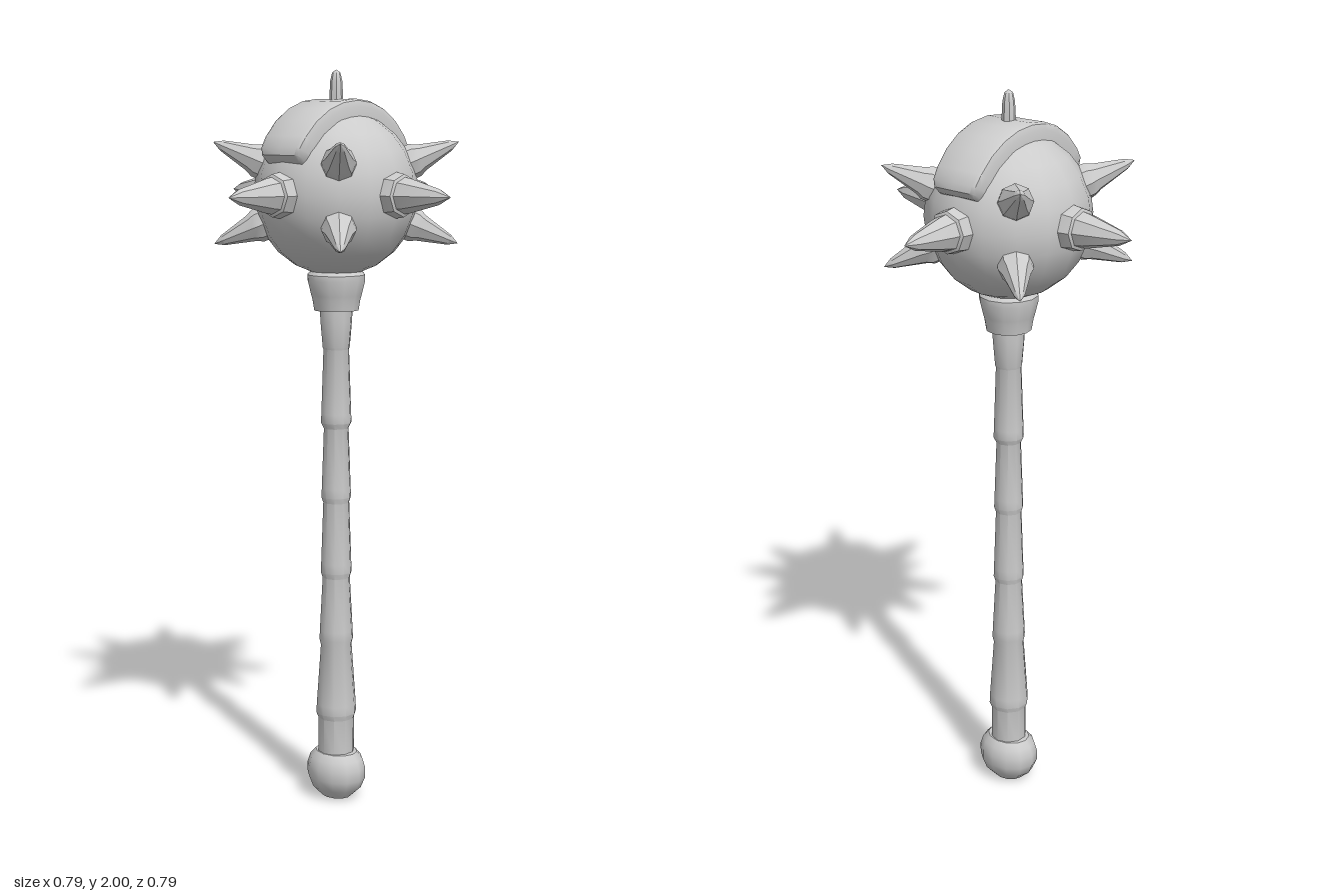
import * as THREE from 'three';
import { toCreasedNormals } from 'three/addons/utils/BufferGeometryUtils.js';

const material = new THREE.MeshStandardMaterial({ color: 0xcccccc });
const HEAD_Y = 1.68;

function part(name, geometry, crease = 0.7) {
  const mesh = new THREE.Mesh(toCreasedNormals(geometry, crease), material);
  mesh.name = name;
  return mesh;
}

// Turned part: [radius, height] pairs listed from bottom to top
function turned(name, profile, sides) {
  const points = profile.map(([r, y]) => new THREE.Vector2(r, y));
  return part(name, new THREE.LatheGeometry(points, sides));
}

// Spike pointing outwards from the head centre
function spike(name, profile, direction) {
  const mesh = turned(name, profile, 8);
  mesh.quaternion.setFromUnitVectors(new THREE.Vector3(0, 1, 0), direction.normalize());
  return mesh;
}

// Raised band bent over the head from front to back, with softened edges and ends
function bandGeometry() {
  const section = [[-1, -1], [-1, 0.55], [-0.93, 0.9], [-0.82, 1], [0, 0.97],
    [0.82, 1], [0.93, 0.9], [1, 0.55], [1, -1]];
  const start = [[22, 0.78, -0.015], [23, 0.82, 0.02], [25.5, 0.91, 0.038], [30, 0.98, 0.045], [38, 1, 0.045]];
  const middle = [51, 64, 77, 90, 103, 116, 129].map((a) => [a, 1, 0.045]);
  const end = start.map(([a, w, h]) => [180 - a, w, h]).reverse();
  const rings = [...start, ...middle, ...end];
  const positions = [], indices = [];
  for (const [degrees, widthScale, lift] of rings) {
    const a = THREE.MathUtils.degToRad(degrees);
    const halfWidth = widthScale * (0.073 + 0.011 * Math.sin(a) ** 2);
    for (const [u, v] of section) {
      const r = 0.2 + (v < 0 ? -0.02 : lift * v);
      positions.push(u * halfWidth, r * Math.sin(a), r * Math.cos(a));
    }
  }
  const n = section.length;
  for (let i = 0; i < rings.length - 1; i++) {
    for (let j = 0; j < n - 1; j++) {
      const a = i * n + j, b = a + n;
      indices.push(a, a + 1, b, a + 1, b + 1, b);
    }
  }
  // End caps
  const last = (rings.length - 1) * n;
  for (let j = 1; j < n - 1; j++) {
    indices.push(0, j + 1, j, last, last + j, last + j + 1);
  }
  const geometry = new THREE.BufferGeometry();
  geometry.setAttribute('position', new THREE.Float32BufferAttribute(positions, 3));
  geometry.setIndex(indices);
  return geometry;
}

export function createModel() {
  const model = new THREE.Group();
  model.name = 'spikedMace';

  // Pommel, slightly wider from side to side
  const pommel = turned('pommel', [[0, 0.005], [0.037, 0.008], [0.062, 0.035], [0.073, 0.065],
    [0.073, 0.095], [0.066, 0.12], [0.052, 0.138], [0, 0.14]], 12);
  pommel.scale.x = 1.2;
  model.add(pommel);

  // Grip of stacked segments, each flaring down to a small step
  const grip = [[0.05, 0.12], [0.05, 0.235]];
  const steps = [[0.25, 0.056, 0.043], [0.46, 0.047, 0.038], [0.65, 0.043, 0.036], [0.86, 0.041, 0.034], [1.065, 0.042, 0.035]];
  steps.forEach(([y, wide, narrow], i) => {
    const top = i < steps.length - 1 ? steps[i + 1][0] - 0.015 : 1.265;
    grip.push([wide, y], [wide - 0.001, y + 0.025], [narrow, top]);
  });
  grip.push([0.037, 1.27], [0.043, 1.34], [0.045, 1.38]);
  model.add(turned('grip', grip, 10));

  // Collar under the head
  model.add(turned('collar', [[0.04, 1.368], [0.061, 1.37], [0.066, 1.40], [0.069, 1.41],
    [0.079, 1.45], [0.079, 1.465], [0.06, 1.485]], 12));

  // Head group, centred on the ball
  const head = new THREE.Group();
  head.name = 'head';
  head.position.y = HEAD_Y;
  model.add(head);
  head.add(part('ball', new THREE.SphereGeometry(0.219, 16, 12), 1));
  head.add(part('band', bandGeometry(), 0.75));

  // Top pin
  head.add(turned('topPin', [[0.019, 0.22], [0.018, 0.25], [0.016, 0.29], [0.011, 0.312], [0, 0.32]], 8));

  // Four large spikes with stepped sockets around the middle
  const large = [[0.06, 0.18], [0.059, 0.213], [0.055, 0.238], [0.047, 0.241],
    [0.044, 0.26], [0.02, 0.355], [0, 0.393]];
  for (let i = 0; i < 4; i++) {
    const a = i * Math.PI / 2;
    head.add(spike('largeSpike', large, new THREE.Vector3(Math.cos(a), 0, Math.sin(a))));
  }

  // Eight smaller spikes at the diagonals
  const small = [[0.046, 0.18], [0.045, 0.225], [0.036, 0.243], [0.014, 0.325], [0, 0.35]];
  for (const x of [-1, 1]) for (const y of [-1, 1]) for (const z of [-1, 1]) {
    head.add(spike('smallSpike', small, new THREE.Vector3(0.228 * x, 0.133 * y, 0.228 * z)));
  }
  return model;
}
